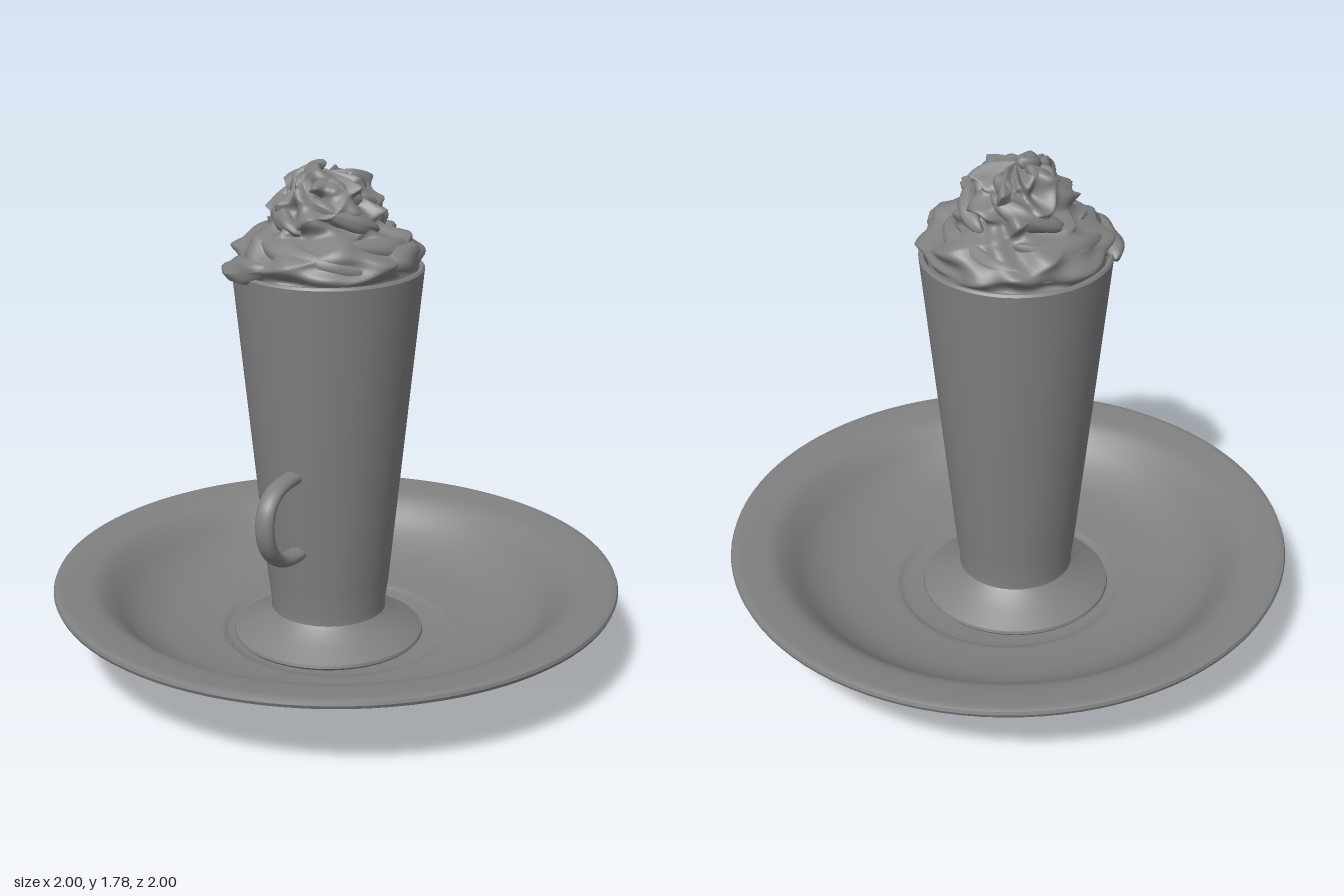
import * as THREE from 'three';
import { mergeVertices, toCreasedNormals } from 'three/addons/utils/BufferGeometryUtils.js';

const material = new THREE.MeshStandardMaterial({ color: 0x808080, side: THREE.DoubleSide });
const CX = -0.018, CZ = 0.022; // the glass stands slightly off centre

const v2 = (list) => list.map(([r, y]) => new THREE.Vector2(r, y));
const smooth = (list, n) => new THREE.SplineCurve(v2(list)).getPoints(n);

function add(parent, name, geometry, x = 0, y = 0, z = 0) {
  const mesh = new THREE.Mesh(geometry, material);
  mesh.name = name;
  mesh.position.set(x, y, z);
  parent.add(mesh);
  return mesh;
}

const lathe = (points, segments = 96) =>
  toCreasedNormals(new THREE.LatheGeometry(points, segments), 0.6);

// Wide saucer: foot and underside, rounded rim, then the dished top
function saucerGeometry() {
  const under = smooth([[0.405, 0], [0.411, 0.02], [0.428, 0.04], [0.475, 0.058], [0.61, 0.09],
    [0.71, 0.14], [0.785, 0.207], [0.84, 0.243], [0.9, 0.26], [0.985, 0.262]], 36);
  const rim = v2([[0.995, 0.267], [1, 0.279], [0.996, 0.29], [0.985, 0.295]]);
  const top = smooth([[0.97, 0.295], [0.9, 0.289], [0.845, 0.277], [0.795, 0.243], [0.72, 0.175],
    [0.62, 0.122], [0.49, 0.094], [0.41, 0.086], [0.39, 0.078], [0.36, 0.073]], 36);
  return lathe([...v2([[0, 0], [0.37, 0]]), ...under, ...rim, ...top, ...v2([[0, 0.073]])]);
}

// Tall tapered glass with a flared foot and a thin wall
function glassGeometry() {
  return lathe(v2([[0, 0.075], [0.33, 0.075], [0.337, 0.083], [0.334, 0.093], [0.27, 0.13],
    [0.22, 0.163], [0.203, 0.18], [0.202, 0.2], [0.215, 0.3], [0.271, 0.86], [0.326, 1.41],
    [0.327, 1.422], [0.321, 1.43], [0.312, 1.43], [0.306, 1.42], [0.252, 0.86], [0.19, 0.3], [0, 0.28]]));
}

// Whipped cream: a stepped mound whose folds wind around the axis
function creamGeometry() {
  const outline = [[0, 1.38], [0.27, 1.39], [0.3, 1.43], [0.315, 1.46], [0.302, 1.5], [0.275, 1.525],
    [0.24, 1.545], [0.2, 1.565], [0.185, 1.6], [0.183, 1.63], [0.165, 1.66], [0.14, 1.685],
    [0.13, 1.71], [0.09, 1.735], [0, 1.75]];
  let g = new THREE.LatheGeometry(smooth(outline, 90), 160);
  const p = g.attributes.position;
  for (let i = 0; i < p.count; i++) {
    const x = p.getX(i), y = p.getY(i), z = p.getZ(i);
    const r = Math.hypot(x, z), a = Math.atan2(z, x), h = (y - 1.4) / 0.36;
    const ridge = 1 - 2 * Math.abs(Math.sin(2.5 * a + 10 * h)); // sharp wound folds
    const fine = Math.sin(9 * a - 17 * h + 1.5 * Math.sin(3 * a));
    const lump = Math.sin(4 * a + 23 * h) * Math.cos(7 * a - 11 * h);
    const k = THREE.MathUtils.clamp(r / 0.1, 0, 1) * THREE.MathUtils.smoothstep(y, 1.39, 1.44);
    const amount = THREE.MathUtils.lerp(0.45, 1, THREE.MathUtils.clamp(h * 1.6, 0, 1));
    const out = k * amount * (0.018 * ridge + 0.011 * fine + 0.014 * lump);
    const lift = k * THREE.MathUtils.clamp(h, 0, 1) * (0.016 * Math.sin(5 * a - 9 * h) + 0.01 * fine);
    p.setXYZ(i, x + Math.cos(a) * out, y + lift, z + Math.sin(a) * out);
  }
  g.deleteAttribute('uv');
  g.deleteAttribute('normal');
  g = mergeVertices(g, 1e-5);
  g.computeVertexNormals();
  return g;
}

// Tapering curl of cream along a wound path
function curlGeometry(a0, sweep, r0, r1, y0, y1, thick) {
  const pts = [];
  for (let i = 0; i <= 8; i++) {
    const t = i / 8, a = a0 + sweep * t, r = r0 + (r1 - r0) * t;
    pts.push(new THREE.Vector3(Math.cos(a) * r, y0 + (y1 - y0) * t, Math.sin(a) * r));
  }
  const path = new THREE.CatmullRomCurve3(pts), N = 32, M = 12;
  const g = new THREE.TubeGeometry(path, N, thick, M);
  const p = g.attributes.position, c = new THREE.Vector3(), v = new THREE.Vector3();
  for (let i = 0; i <= N; i++) {
    path.getPointAt(i / N, c);
    const s = Math.sqrt(Math.sin(Math.PI * Math.min(i / N, 1)) + 1e-6);
    for (let j = 0; j <= M; j++) {
      const n = i * (M + 1) + j;
      const groove = 1 + 0.14 * Math.cos(3 * (j / M) * Math.PI * 2 + i * 0.3);
      v.fromBufferAttribute(p, n).sub(c).multiplyScalar(s * groove).add(c);
      p.setXYZ(n, v.x, v.y, v.z);
    }
  }
  g.computeVertexNormals();
  return g;
}

// Loop handle on the front of the glass
function handleGeometry() {
  const path = new THREE.CatmullRomCurve3([[0.742, 0.22], [0.744, 0.31], [0.731, 0.385], [0.69, 0.435],
    [0.625, 0.45], [0.55, 0.431], [0.49, 0.375], [0.463, 0.31], [0.455, 0.19]]
    .map(([y, z]) => new THREE.Vector3(0, y, z)));
  return new THREE.TubeGeometry(path, 64, 0.023, 16).scale(1.5, 1, 1);
}

export function createModel() {
  const model = new THREE.Group();
  model.name = 'creamToppedDrinkOnSaucer';
  add(model, 'saucer', saucerGeometry());

  const glass = new THREE.Group();
  glass.name = 'glass';
  add(glass, 'glassBody', glassGeometry(), CX, 0, CZ);
  add(glass, 'handle', handleGeometry(), CX, 0, CZ);
  model.add(glass);

  const cream = new THREE.Group();
  cream.name = 'whippedCream';
  cream.position.set(CX, 0, CZ);
  add(cream, 'creamMound', creamGeometry());
  // Long folds around the lower and middle tiers
  for (let i = 0; i < 4; i++) {
    add(cream, 'lowerFold', curlGeometry(i * 1.571 + 0.4, 2.2, 0.282, 0.21, 1.45, 1.55, 0.042));
    add(cream, 'middleFold', curlGeometry(i * 1.571, 1.7, 0.19, 0.12, 1.57, 1.68, 0.036));
  }
  // Ragged peaks at the crown
  for (let i = 0; i < 5; i++) {
    add(cream, 'peak', curlGeometry(i * 1.257, 1.1, 0.13, 0.07 + 0.02 * (i % 2), 1.65, 1.735 + 0.015 * (i % 3), 0.032));
  }
  add(cream, 'crownCurl', curlGeometry(0.5, 3.6, 0.065, 0.035, 1.715, 1.772, 0.032));
  // Folds slumping over the rim
  add(cream, 'drip', curlGeometry(1.75, 0.9, 0.29, 0.335, 1.47, 1.415, 0.045));
  add(cream, 'sideDollop', curlGeometry(-0.5, 0.9, 0.27, 0.285, 1.5, 1.47, 0.045));
  model.add(cream);
  return model;
}
